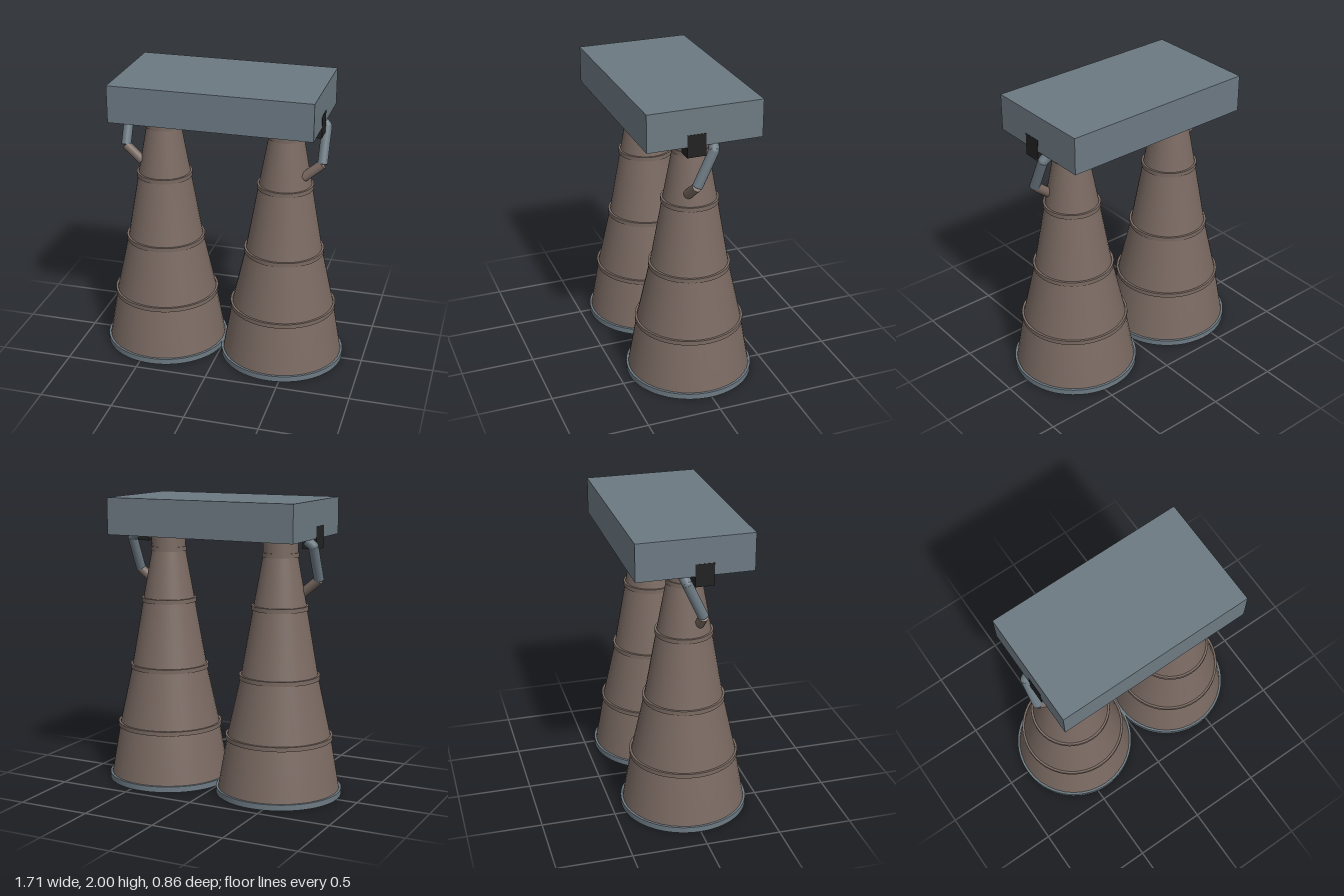
import * as THREE from 'three';

const steel = new THREE.MeshStandardMaterial({ color: 0x6c7982 });
steel.name = 'blue grey steel';
const bronze = new THREE.MeshStandardMaterial({ color: 0x7a6a62, side: THREE.DoubleSide });
bronze.name = 'brown nozzle metal';
const dark = new THREE.MeshStandardMaterial({ color: 0x222222 });
dark.name = 'dark fitting';

const SEG = 40;

function add(parent, name, geometry, material) {
  const mesh = new THREE.Mesh(geometry, material);
  mesh.name = name;
  parent.add(mesh);
  return mesh;
}

function lathe(points) {
  return new THREE.LatheGeometry(points.map(([r, y]) => new THREE.Vector2(r, y)), SEG);
}

// Square-section ring with crisp edges: outer wall, two flat faces, inner wall
function ring(parent, name, inner, outer, y0, y1, material) {
  const shape = new THREE.Shape().absarc(0, 0, outer, 0, Math.PI * 2);
  shape.holes.push(new THREE.Path().absarc(0, 0, inner, 0, Math.PI * 2, true));
  const g = new THREE.ExtrudeGeometry(shape, { depth: y1 - y0, bevelEnabled: false, curveSegments: SEG });
  g.rotateX(-Math.PI / 2).translate(0, y0, 0);
  add(parent, name, g, material);
}

// Straight pipe between two points
function pipe(parent, name, a, b, r, material) {
  const from = new THREE.Vector3(...a), to = new THREE.Vector3(...b);
  const dir = to.clone().sub(from);
  const mesh = add(parent, name, new THREE.CylinderGeometry(r, r, dir.length(), 16), material);
  mesh.position.copy(from).add(to).multiplyScalar(0.5);
  mesh.quaternion.setFromUnitVectors(new THREE.Vector3(0, 1, 0), dir.normalize());
}

function nozzle(side) {
  const g = new THREE.Group();
  g.name = side > 0 ? 'leftNozzle' : 'rightNozzle';
  g.position.x = 0.425 * side;

  // Hollow bell and its straight neck
  add(g, 'bell', lathe([[0.42, 0.01], [0.352, 0.4], [0.262, 0.81], [0.18, 1.28], [0.118, 1.62]]), bronze);
  add(g, 'neck', lathe([[0.118, 1.62], [0.118, 1.76]]), bronze);

  // Stiffening bands and the exit rim
  for (const [y, r] of [[0.395, 0.366], [0.81, 0.274], [1.28, 0.191], [1.635, 0.124]]) {
    ring(g, 'band', r - 0.015, r, y - 0.015, y + 0.015, bronze);
  }
  ring(g, 'exitRim', 0.402, 0.43, 0, 0.04, steel);
  return g;
}

function feedLine(side) {
  const g = new THREE.Group();
  g.name = side > 0 ? 'leftFeedLine' : 'rightFeedLine';
  const low = [0.56 * side, 1.375, 0.065];
  const elbow = [0.68 * side, 1.475, 0.052];
  const high = [0.682 * side, 1.705, -0.055];
  const top = [0.64 * side, 1.745, -0.07];
  pipe(g, 'lowerPipe', low, elbow, 0.032, bronze);
  pipe(g, 'middlePipe', elbow, high, 0.034, steel);
  pipe(g, 'upperPipe', high, top, 0.034, steel);
  // Rounded joint between the steel pipes
  add(g, 'joint', new THREE.SphereGeometry(0.033, 16, 10), steel).position.set(...high);

  // Fitting set into the edge of the block
  add(g, 'fitting', new THREE.BoxGeometry(0.1, 0.15, 0.126), dark).position.set(0.632 * side, 1.755, 0.058);
  return g;
}

export function createModel() {
  const model = new THREE.Group();
  model.name = 'twinNozzleEngine';
  add(model, 'mountingBlock', new THREE.BoxGeometry(1.36, 0.25, 0.77), steel).position.y = 1.875;
  for (const side of [1, -1]) model.add(nozzle(side), feedLine(side));
  return model;
}
